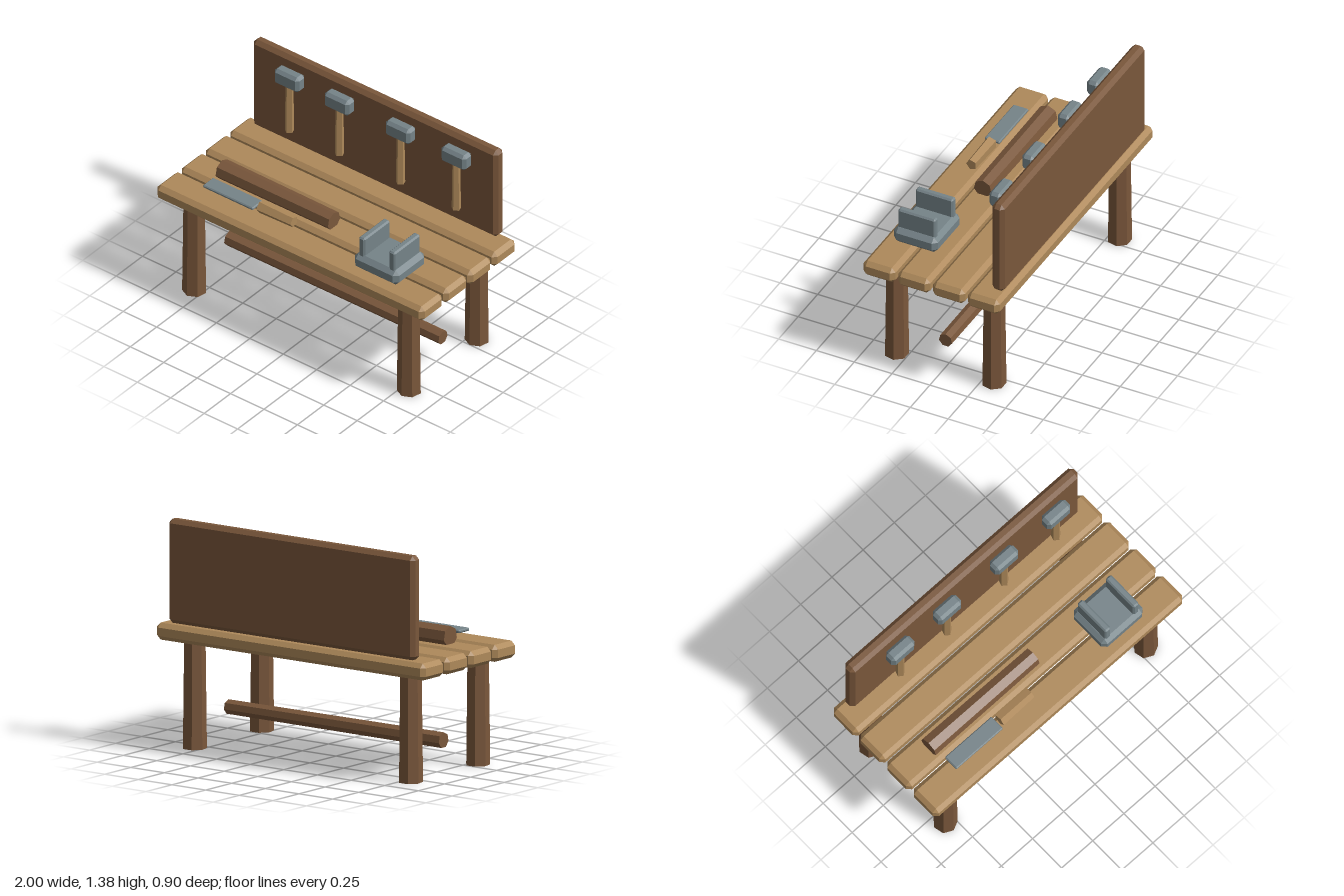
import * as THREE from 'three';
import { ConvexGeometry } from 'three/addons/geometries/ConvexGeometry.js';

const makeMaterial = (name, color) => {
  const m = new THREE.MeshStandardMaterial({ color, flatShading: true });
  m.name = name;
  return m;
};

// Box with every edge cut at 45 degrees
function chamferBox(w, h, d, c) {
  const points = [];
  for (const x of [-w / 2, w / 2]) for (const y of [-h / 2, h / 2]) for (const z of [-d / 2, d / 2]) {
    const sx = Math.sign(x) * c, sy = Math.sign(y) * c, sz = Math.sign(z) * c;
    points.push(
      new THREE.Vector3(x, y - sy, z - sz),
      new THREE.Vector3(x - sx, y, z - sz),
      new THREE.Vector3(x - sx, y - sy, z));
  }
  return new ConvexGeometry(points);
}

// Tapered pole lying along x, rLeft at its -x end; turn spins it about its own axis
function lyingPole(rLeft, rRight, length, sides, turn = 0) {
  return new THREE.CylinderGeometry(rLeft, rRight, length, sides).rotateY(turn).rotateZ(Math.PI / 2);
}

export function createModel() {
  const model = new THREE.Group();
  model.name = 'workbench';
  const darkWood = makeMaterial('darkWood', 0x7a573b);
  const lightWood = makeMaterial('lightWood', 0xae895a);
  const metal = makeMaterial('metal', 0x758388);

  const add = (parent, name, geometry, material, x, y, z) => {
    const mesh = new THREE.Mesh(geometry, material);
    mesh.name = name;
    mesh.position.set(x, y, z);
    parent.add(mesh);
    return mesh;
  };
  const addGroup = (name) => {
    const group = new THREE.Group();
    group.name = name;
    model.add(group);
    return group;
  };

  // Bench top of four planks
  const top = addGroup('benchTop');
  const plank = chamferBox(2, 0.102, 0.212, 0.026);
  for (const z of [-0.345, -0.115, 0.115, 0.345]) add(top, 'plank', plank, lightWood, 0, 0.696, z);

  // Seven-sided legs and the bar between them
  const legs = addGroup('legs');
  const leg = new THREE.CylinderGeometry(0.066, 0.074, 0.66, 7);
  for (const x of [-0.803, 0.803]) for (const z of [-0.322, 0.322]) add(legs, 'leg', leg, darkWood, x, 0.33, z);
  add(model, 'crossbar', lyingPole(0.048, 0.044, 1.6, 7, Math.PI / 2), darkWood, 0, 0.196, 0);

  // Tool board at the back
  add(model, 'backBoard', chamferBox(1.83, 0.624, 0.082, 0.024), darkWood, 0, 1.067, -0.4);

  // Row of hanging hammers
  const head = chamferBox(0.185, 0.107, 0.081, 0.019);
  const handle = new THREE.CylinderGeometry(0.024, 0.029, 0.36, 5);
  for (const x of [-0.585, -0.211, 0.246, 0.663]) {
    const hammer = addGroup('hammer');
    hammer.position.set(x, 0, -0.3);
    add(hammer, 'hammerHead', head, metal, 0, 1.279, 0);
    add(hammer, 'hammerHandle', handle, lightWood, 0, 1.082, 0);
  }

  // Log lying on the bench
  add(model, 'log', lyingPole(0.064, 0.059, 0.836, 7, Math.PI / 2), darkWood, -0.335, 0.791, 0.125);

  // Chisel
  const chisel = addGroup('chisel');
  add(chisel, 'chiselBlade', chamferBox(0.374, 0.02, 0.1, 0.006), metal, -0.543, 0.798, 0.29);
  add(chisel, 'chiselHandle', lyingPole(0.041, 0.035, 0.25, 5), lightWood, -0.213, 0.8, 0.287);

  // Vise with two upright jaws
  const vise = addGroup('vise');
  vise.position.set(0.585, 0, 0.234);
  add(vise, 'viseBase', chamferBox(0.332, 0.104, 0.29, 0.028), metal, 0, 0.802, 0);
  const jaw = chamferBox(0.045, 0.18, 0.247, 0.01);
  for (const x of [-0.113, 0.113]) add(vise, 'viseJaw', jaw, metal, x, 0.887, 0);

  return model;
}
